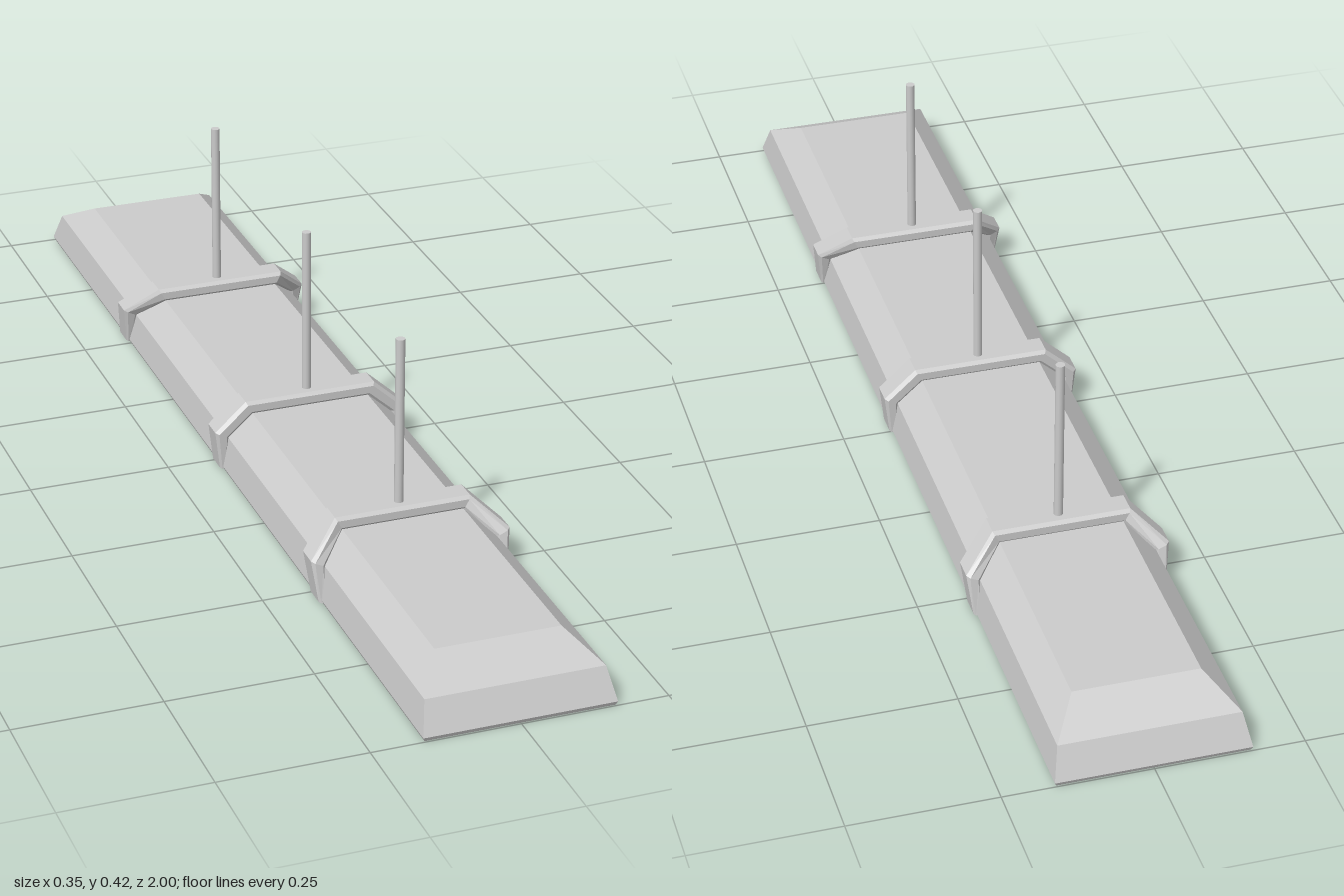
import * as THREE from 'three';

const metal = new THREE.MeshStandardMaterial({ color: 0xcccccc });

function addMesh(parent, name, geometry, x = 0, y = 0, z = 0) {
  const mesh = new THREE.Mesh(geometry, metal);
  mesh.name = name;
  mesh.position.set(x, y, z);
  parent.add(mesh);
  return mesh;
}

// Skins a list of equal-length rings with flat faces and caps both ends
function loft(rings) {
  const pos = [];
  const tri = (a, b, c) => pos.push(...a, ...b, ...c);
  const n = rings[0].length;
  for (let i = 0; i < rings.length - 1; i++) {
    for (let j = 0; j < n; j++) {
      const k = (j + 1) % n;
      const [a, b, c, d] = [rings[i][j], rings[i][k], rings[i + 1][k], rings[i + 1][j]];
      tri(a, b, c);
      tri(a, c, d);
    }
  }
  const first = rings[0], last = rings[rings.length - 1];
  for (let j = 1; j < n - 1; j++) {
    tri(first[0], first[j + 1], first[j]);
    tri(last[0], last[j], last[j + 1]);
  }
  const g = new THREE.BufferGeometry();
  g.setAttribute('position', new THREE.Float32BufferAttribute(pos, 3));
  g.computeVertexNormals();
  return g;
}

// Rectangular ring given half width, half length and height
const rectRing = ([w, l, y]) => [[w, y, l], [w, y, -l], [-w, y, -l], [-w, y, l]];

// Bevelled strap following the housing; its legs sweep along z by the given amount
function strapGeometry(sweep) {
  const half = 0.025, bevel = 0.006;
  // inner x, inner y, outer x, outer y, fraction of sweep
  const side = [
    [0.155, 0.003, 0.167, 0.003, 1],
    [0.149, 0.06, 0.175, 0.072, 0.72],
    [0.106, 0.098, 0.119, 0.123, 0],
  ];
  const mirrored = side.map(([a, b, c, d, s]) => [-a, b, -c, d, s]).reverse();
  const h = half - bevel;
  const section = [[half, 0.25], [half, 0.78], [h, 1], [-h, 1], [-half, 0.78], [-half, 0.25], [-h, 0], [h, 0]];
  return loft([...side, ...mirrored].map(([ix, iy, ox, oy, s]) =>
    section.map(([z, t]) => [ix + (ox - ix) * t, iy + (oy - iy) * t, z + s * sweep])));
}

export function createModel() {
  const model = new THREE.Group();
  model.name = 'hangingLightFixture';

  // Housing: recessed ceiling, inner walls, bottom rim, sloped outer shell
  addMesh(model, 'housing', loft([
    [0.142, 0.965, 0.048],
    [0.148, 0.98, 0],
    [0.16, 0.997, 0],
    [0.163, 1, 0.007],
    [0.152, 0.974, 0.06],
    [0.107, 0.9, 0.1],
  ].map(rectRing)));

  // Lamp tubes with a holder at each end
  const tubeGeometry = new THREE.CylinderGeometry(0.019, 0.019, 1.9, 16).rotateX(Math.PI / 2);
  const holderGeometry = new THREE.BoxGeometry(0.03, 0.036, 0.018);
  for (let i = -2; i <= 2; i++) {
    const x = i * 0.055;
    addMesh(model, 'lampTube', tubeGeometry, x, 0.024, 0);
    for (const s of [-1, 1]) addMesh(model, 'lampHolder', holderGeometry, x, 0.031, s * 0.957);
  }

  // Three straps, each carrying a hanging rod
  const rodGeometry = new THREE.CylinderGeometry(0.008, 0.008, 0.31, 12);
  for (const [z, sweep] of [[0.467, 0.055], [0.018, 0], [-0.473, -0.055]]) {
    const hanger = new THREE.Group();
    hanger.name = 'hanger';
    hanger.position.z = z;
    addMesh(hanger, 'strap', strapGeometry(sweep));
    addMesh(hanger, 'rod', rodGeometry, 0, 0.265, 0);
    model.add(hanger);
  }
  return model;
}
